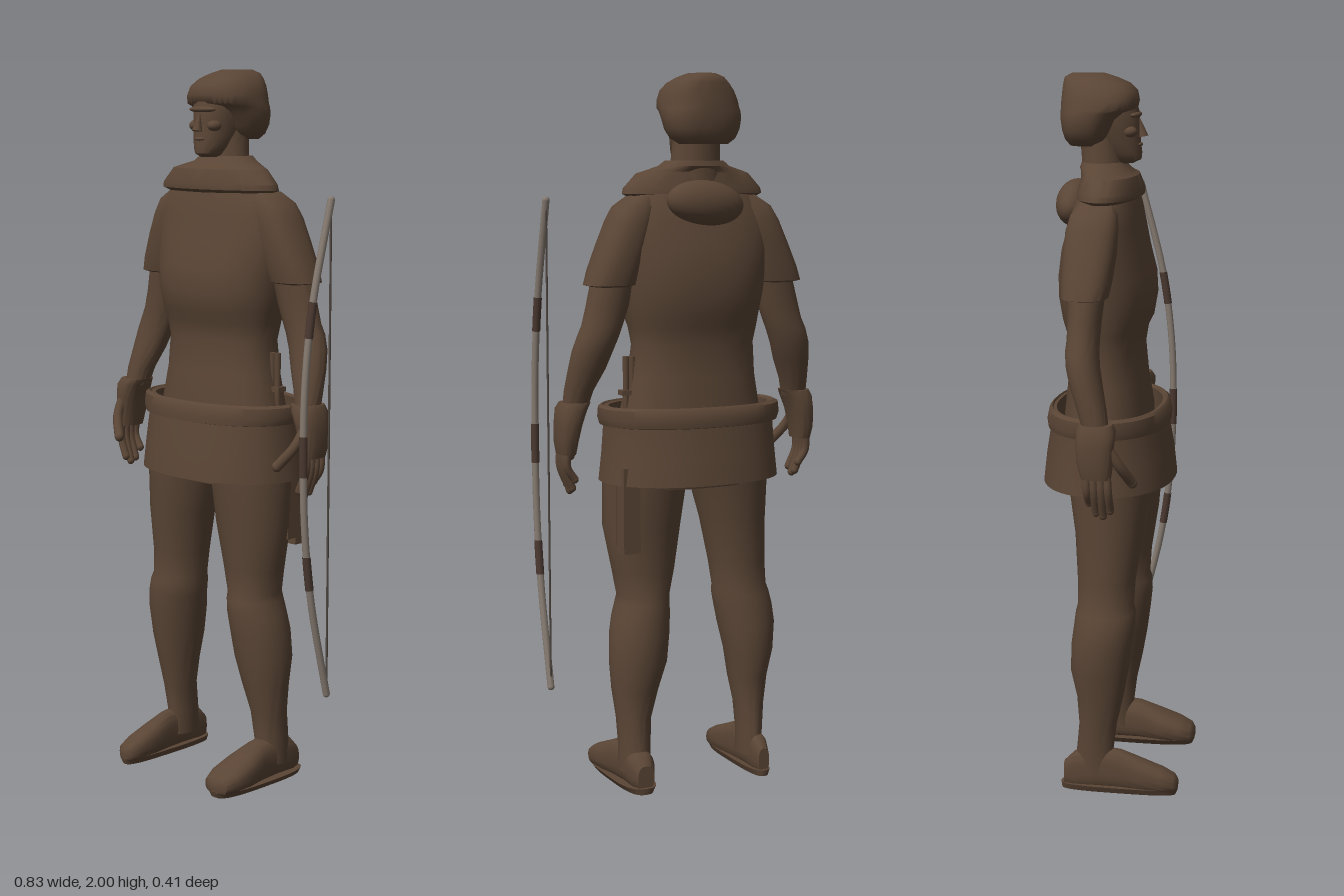
import * as THREE from 'three';
import { toCreasedNormals } from 'three/addons/utils/BufferGeometryUtils.js';

const material = (name, color) => {
  const m = new THREE.MeshStandardMaterial({ color });
  m.name = name;
  return m;
};

// Skin over rounded cross-sections: [w, u0, u1, v0, v1]. axis 'y': u = x, v = z, w = y (rising);
// axis 'z': u = x, v = y, w = z (falling). power > 2 makes the sections squarer.
function loft(rings, { axis = 'y', power = 2, capped = true, sides = 32, crease = 0.75 } = {}) {
  const pos = [], index = [];
  const put = (u, v, w) => (axis === 'y' ? pos.push(u, w, v) : pos.push(u, v, w));
  const bend = t => Math.sign(t) * Math.abs(t) ** (2 / power);
  for (const [w, u0, u1, v0, v1] of rings) {
    for (let j = 0; j < sides; j++) {
      const a = (j / sides) * Math.PI * 2;
      put((u0 + u1) / 2 + bend(Math.cos(a)) * (u1 - u0) / 2,
        (v0 + v1) / 2 + bend(Math.sin(a)) * (v1 - v0) / 2, w);
    }
  }
  for (let i = 0; i < rings.length - 1; i++) {
    for (let j = 0; j < sides; j++) {
      const k = (j + 1) % sides, a = i * sides, b = a + sides;
      index.push(a + j, b + j, a + k, a + k, b + j, b + k);
    }
  }
  if (capped) {
    const last = (rings.length - 1) * sides, c = rings.length * sides;
    for (const [w, u0, u1, v0, v1] of [rings[0], rings.at(-1)]) put((u0 + u1) / 2, (v0 + v1) / 2, w);
    for (let j = 0; j < sides; j++) {
      const k = (j + 1) % sides;
      index.push(c, j, k, c + 1, last + k, last + j);
    }
  }
  const g = new THREE.BufferGeometry();
  g.setAttribute('position', new THREE.Float32BufferAttribute(pos, 3));
  g.setIndex(index);
  return toCreasedNormals(g, crease);
}

const tube = (points, r) => new THREE.TubeGeometry(
  new THREE.CatmullRomCurve3(points.map(p => new THREE.Vector3(...p))), 16, r, 10);

export function createModel() {
  const root = new THREE.Group();
  root.name = 'archer';
  const brown = material('brown cloth', 0x5a4535);
  const grey = material('grey bow wood', 0x857a70);
  const dark = material('dark bow wrap', 0x4a3830);
  const cord = material('bow cord', 0x504740);

  const add = (name, geometry, mat = brown, parent = root) => {
    const m = new THREE.Mesh(geometry, mat);
    m.name = name;
    parent.add(m);
    return m;
  };
  const ball = (name, p, s, parent = root) => {
    const m = add(name, new THREE.SphereGeometry(1, 24, 16), brown, parent);
    m.position.set(...p);
    m.scale.set(...s);
    return m;
  };

  // Padded tunic
  add('torso', loft([
    [0.86, -0.23, 0.2, -0.12, 0.1], [0.95, -0.24, 0.21, -0.145, 0.1], [1.08, -0.225, 0.185, -0.14, 0.1],
    [1.17, -0.21, 0.165, -0.13, 0.085], [1.26, -0.205, 0.155, -0.125, 0.077], [1.31, -0.215, 0.165, -0.135, 0.085],
    [1.34, -0.22, 0.175, -0.145, 0.1], [1.4, -0.232, 0.187, -0.155, 0.11], [1.46, -0.24, 0.195, -0.155, 0.106],
    [1.53, -0.25, 0.205, -0.145, 0.087], [1.6, -0.25, 0.205, -0.125, 0.072], [1.65, -0.23, 0.185, -0.11, 0.062],
    [1.7, -0.18, 0.13, -0.09, 0.045]], { power: 2.3, sides: 40 }));

  // Shoulder cape with a stepped rim, and the hood hanging behind
  add('collar', loft([
    [1.665, -0.22, 0.165, -0.09, 0.055], [1.675, -0.242, 0.182, -0.103, 0.073], [1.69, -0.238, 0.178, -0.102, 0.074],
    [1.73, -0.2, 0.14, -0.09, 0.06], [1.735, -0.185, 0.125, -0.09, 0.05], [1.75, -0.13, 0.08, -0.1, 0.035],
    [1.765, -0.11, 0.06, -0.095, 0.025]], { sides: 40, crease: 0.5 }));
  ball('hood', [-0.02, 1.65, -0.115], [0.115, 0.062, 0.052]).rotation.z = 0.1;

  // Skirt: a hollow flared shell with a thick belt on top
  const shell = [[0.88, -0.265, 0.232, -0.19, 0.153], [0.88, -0.278, 0.246, -0.202, 0.166],
    [0.96, -0.27, 0.238, -0.193, 0.157], [1.04, -0.265, 0.234, -0.18, 0.142], [1.09, -0.265, 0.234, -0.176, 0.135],
    [1.09, -0.25, 0.22, -0.165, 0.123], [0.88, -0.265, 0.232, -0.19, 0.153]];
  add('skirt', loft(shell, { capped: false, sides: 48, power: 2.2 }));
  add('belt', loft([[1.035, -0.25, 0.22, -0.17, 0.13], [1.04, -0.278, 0.245, -0.188, 0.15],
    [1.06, -0.285, 0.252, -0.19, 0.15], [1.088, -0.283, 0.25, -0.184, 0.145], [1.095, -0.27, 0.24, -0.176, 0.137],
    [1.08, -0.255, 0.225, -0.168, 0.128]], { capped: false, sides: 48, power: 2.2 }));

  // Dagger handle above the belt, sheath below the skirt
  const dagger = new THREE.Group();
  dagger.name = 'dagger';
  root.add(dagger);
  for (const [n, x] of [['daggerGrip', 0.163], ['secondGrip', 0.182]]) {
    const g = add(n, new THREE.CylinderGeometry(0.009, 0.008, 0.15, 10), brown, dagger);
    g.position.set(x, 1.155, -0.03);
  }
  add('guard', new THREE.BoxGeometry(0.055, 0.014, 0.03), brown, dagger).position.set(0.172, 1.13, -0.03);
  add('sheath', new THREE.BoxGeometry(0.05, 0.24, 0.05), brown, dagger).position.set(0.2, 0.81, -0.085);
  add('sheathSide', new THREE.BoxGeometry(0.03, 0.2, 0.035), brown, dagger).position.set(0.212, 0.81, -0.045);

  // Legs with boots
  const legs = {
    rightLeg: [[-0.246, -0.172], [[0.05, -0.238, -0.172], [0.12, -0.24, -0.17], [0.2, -0.25, -0.165],
      [0.28, -0.262, -0.15], [0.36, -0.278, -0.138], [0.44, -0.287, -0.12], [0.49, -0.282, -0.112],
      [0.53, -0.272, -0.105], [0.55, -0.264, -0.106], [0.62, -0.26, -0.095], [0.75, -0.262, -0.07], [0.93, -0.265, -0.015]]],
    leftLeg: [[0.112, 0.222], [[0.05, 0.118, 0.206], [0.12, 0.117, 0.207], [0.2, 0.11, 0.21],
      [0.28, 0.085, 0.22], [0.36, 0.06, 0.226], [0.44, 0.05, 0.222], [0.49, 0.046, 0.212],
      [0.53, 0.046, 0.2], [0.55, 0.046, 0.196], [0.62, 0.03, 0.21], [0.75, 0.008, 0.235], [0.93, -0.015, 0.235]]],
  };
  const depth = [[-0.09, 0.025], [-0.085, 0.02], [-0.077, 0.03], [-0.083, 0.048], [-0.1, 0.063], [-0.098, 0.074],
    [-0.092, 0.08], [-0.088, 0.08], [-0.083, 0.074], [-0.084, 0.078], [-0.092, 0.098], [-0.12, 0.115]];
  for (const [name, [[f0, f1], rows]] of Object.entries(legs)) {
    const leg = new THREE.Group();
    leg.name = name;
    root.add(leg);
    add('legAndBoot', loft(rows.map((r, i) => [...r, ...depth[i]])), brown, leg);
    const w = f1 - f0, n = w * 0.12;
    add('foot', loft([
      [0.205, f0 + w * 0.3, f1 - w * 0.3, 0.012, 0.045], [0.195, f0 + w * 0.12, f1 - w * 0.12, 0.006, 0.058],
      [0.16, f0, f1, 0.004, 0.075], [0.1, f0, f1, 0.004, 0.098], [0.04, f0 + n, f1 - n, 0.004, 0.122],
      [-0.03, f0 + n, f1 - n * 1.5, 0.004, 0.13], [-0.09, f0 + n, f1 - n * 1.5, 0.004, 0.11],
      [-0.12, f0 + w * 0.25, f1 - w * 0.3, 0.01, 0.08]], { axis: 'z', power: 2.6 }), brown, leg);
    add('sole', loft([[0, f0 + n, f1 - n, -0.128, 0.2], [0.018, f0, f1, -0.13, 0.207]], { power: 3 }), brown, leg);
  }

  // Arms, mirrored about the body's own middle line
  for (const side of ['right', 'left']) {
    const arm = new THREE.Group();
    arm.name = side + 'Arm';
    root.add(arm);
    const mx = x => (side === 'right' ? x : -0.04 - x);
    const flip = rows => rows.map(([y, a, b, c, d]) =>
      [y, Math.min(mx(a), mx(b)), Math.max(mx(a), mx(b)), c, d]);
    const at = points => points.map(([x, y, z]) => [mx(x), y, z]);
    add('sleeve', loft(flip([[1.425, -0.325, -0.225, -0.09, 0.005], [1.43, -0.348, -0.205, -0.105, 0.018],
      [1.47, -0.335, -0.19, -0.108, 0.026], [1.54, -0.305, -0.165, -0.108, 0.034], [1.6, -0.278, -0.15, -0.105, 0.036],
      [1.64, -0.255, -0.14, -0.095, 0.032], [1.67, -0.21, -0.13, -0.075, 0.02]]), { power: 2.4 }), brown, arm);
    add('arm', loft(flip([[1.09, -0.398, -0.328, -0.035, 0.035], [1.14, -0.397, -0.315, -0.05, 0.028],
      [1.2, -0.392, -0.286, -0.072, 0.015], [1.25, -0.385, -0.268, -0.085, 0.005], [1.29, -0.372, -0.252, -0.09, 0],
      [1.32, -0.358, -0.24, -0.088, 0], [1.37, -0.345, -0.222, -0.088, 0.002], [1.45, -0.325, -0.205, -0.09, 0.01]])),
      brown, arm);
    add('palm', loft(flip([[0.965, -0.412, -0.365, -0.035, 0.045], [1.0, -0.418, -0.36, -0.045, 0.05],
      [1.05, -0.418, -0.348, -0.05, 0.052], [1.09, -0.414, -0.332, -0.05, 0.055], [1.108, -0.405, -0.322, -0.045, 0.045]]),
      { power: 2.5 }), brown, arm);
    for (let i = 0; i < 4; i++) {
      const z = 0.034 - i * 0.019, tip = [0.865, 0.85, 0.858, 0.885][i];
      add('finger', tube(at([[-0.392, 0.99, z], [-0.394, 0.93, z + 0.004], [-0.372, tip + 0.01, z + 0.006]]), 0.011), brown, arm);
      ball('fingertip', [mx(-0.372), tip + 0.01, z + 0.006], [0.011, 0.012, 0.011], arm);
    }
    add('thumb', tube(at([[-0.39, 1.06, 0.03], [-0.378, 1.0, 0.065], [-0.34, 0.945, 0.094]]), 0.014), brown, arm);
    ball('thumbTip', [mx(-0.34), 0.945, 0.094], [0.014, 0.015, 0.014], arm);
  }

  // Neck, head and face
  add('neck', loft([[1.7, -0.11, 0.055, -0.1, 0.03], [1.77, -0.098, 0.042, -0.095, 0.022],
    [1.84, -0.095, 0.035, -0.1, 0.02]]));
  add('head', loft([[1.762, -0.055, -0.002, -0.01, 0.048], [1.772, -0.066, 0.008, -0.03, 0.068],
    [1.79, -0.076, 0.018, -0.06, 0.07], [1.82, -0.088, 0.028, -0.1, 0.066], [1.86, -0.096, 0.036, -0.12, 0.064],
    [1.9, -0.1, 0.04, -0.12, 0.062], [1.95, -0.09, 0.03, -0.11, 0.045]], { power: 2.2 }));
  const nose = add('nose', new THREE.ConeGeometry(0.015, 0.055, 12));
  nose.position.set(-0.03, 1.86, 0.067);
  nose.rotation.x = -0.2;
  ball('brow', [-0.03, 1.892, 0.052], [0.05, 0.009, 0.016]);
  ball('mouth', [-0.03, 1.812, 0.063], [0.02, 0.006, 0.009]);
  for (const s of [-1, 1]) ball('cheek', [-0.03 + s * 0.035, 1.848, 0.04], [0.02, 0.016, 0.022]);

  // Soft cap, low at the nape and open around the face
  add('cap', loft([[1.81, -0.1, 0.04, -0.125, -0.04], [1.825, -0.122, 0.062, -0.138, -0.015],
    [1.85, -0.136, 0.076, -0.146, 0.0], [1.88, -0.142, 0.082, -0.15, 0.014], [1.9, -0.142, 0.082, -0.15, 0.035],
    [1.908, -0.141, 0.081, -0.15, 0.056], [1.93, -0.136, 0.078, -0.149, 0.061], [1.955, -0.124, 0.07, -0.147, 0.056],
    [1.975, -0.105, 0.055, -0.145, 0.035], [1.99, -0.085, 0.035, -0.142, 0.0], [2.0, -0.06, 0.01, -0.125, -0.03]],
  { power: 2.4, sides: 40, crease: 1 }));

  // Bow: wrapped limbs and a straight string
  const bow = new THREE.Group();
  bow.name = 'bow';
  root.add(bow);
  const bend = new THREE.CatmullRomCurve3([[1.66, 0], [1.39, 0.068], [1.18, 0.095], [0.98, 0.1], [0.78, 0.092],
    [0.58, 0.065], [0.31, 0]].map(([y, z]) => new THREE.Vector3(0.402, y, z)));
  const stops = [0, 0.2, 0.27, 0.46, 0.54, 0.7, 0.77, 1];
  for (let i = 0; i < stops.length - 1; i++) {
    const span = [];
    for (let k = 0; k <= 6; k++) span.push(bend.getPointAt(stops[i] + (stops[i + 1] - stops[i]) * k / 6).toArray());
    add(i % 2 ? 'bowWrap' : 'bowLimb', tube(span, i % 2 ? 0.0115 : 0.01), i % 2 ? dark : grey, bow);
  }
  for (const y of [1.66, 0.31]) {
    const tip = add('bowTip', new THREE.SphereGeometry(0.01, 12, 8), grey, bow);
    tip.position.set(0.402, y, 0);
  }
  add('string', new THREE.CylinderGeometry(0.003, 0.003, 1.35, 8), cord, bow).position.set(0.402, 0.985, 0);
  return root;
}
